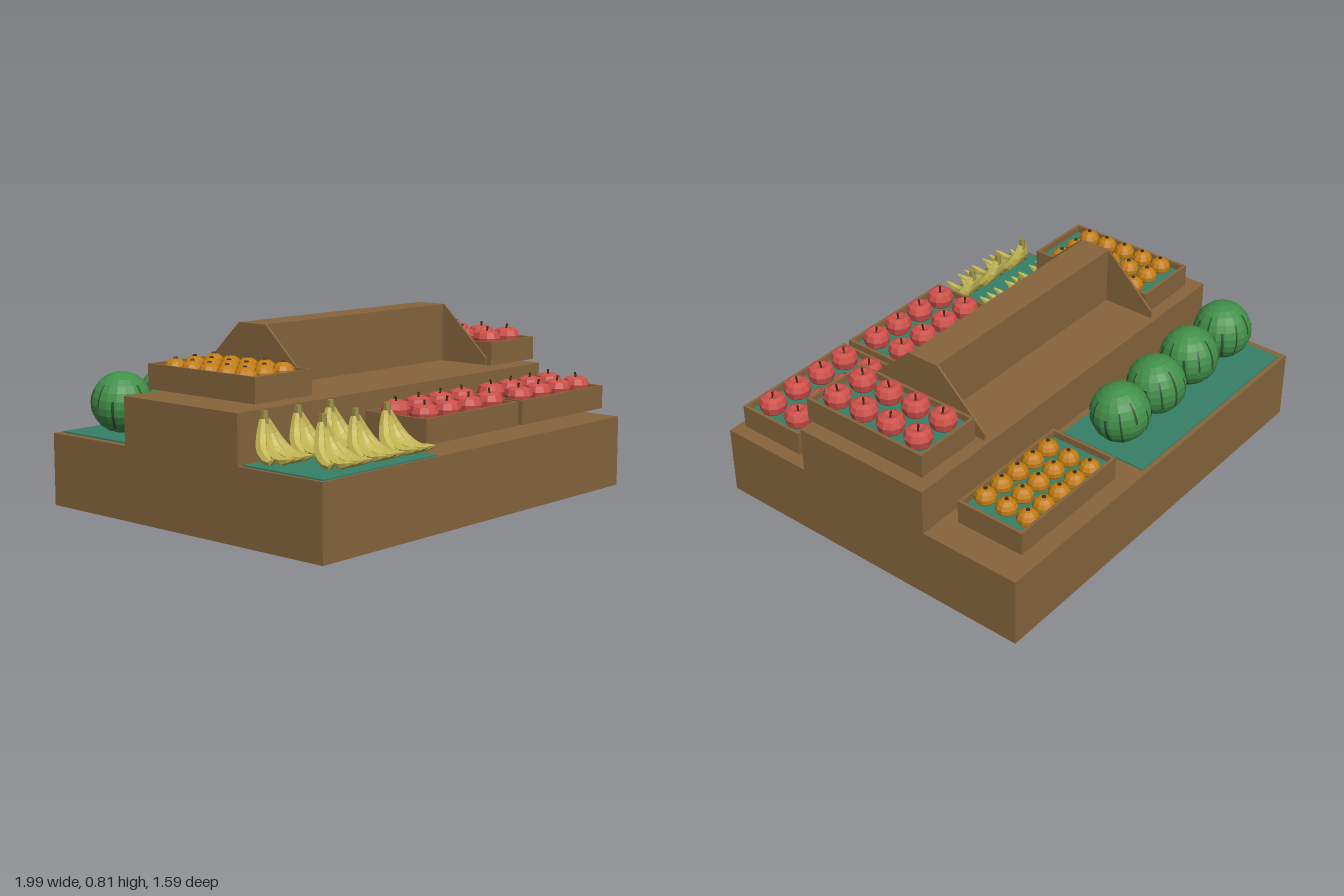
import * as THREE from 'three';

const mat = (name, color, extra = {}) => {
  const m = new THREE.MeshStandardMaterial({ color, ...extra });
  m.name = name;
  return m;
};

export function createModel() {
  const root = new THREE.Group();
  root.name = 'fruitStand';

  const wood = mat('wood', 0x86653c);
  const cloth = mat('greenCloth', 0x368068);
  const red = mat('appleRed', 0xcd5049, { flatShading: true });
  const orange = mat('orangePeel', 0xc17c12, { flatShading: true });
  const yellow = mat('bananaYellow', 0xc6b855, { flatShading: true });
  const olive = mat('bananaStem', 0x968a44, { flatShading: true });
  const green = mat('melonGreen', 0x42904a, { flatShading: true });
  const dark = mat('melonStripe', 0x2c4f2a, { side: THREE.DoubleSide });
  const brown = mat('fruitStem', 0x3c2e1c);

  const add = (parent, name, geo, material, x = 0, y = 0, z = 0) => {
    const m = new THREE.Mesh(geo, material);
    m.name = name;
    m.position.set(x, y, z);
    parent.add(m);
    return m;
  };
  // Box given by its two extreme corners
  const slab = (parent, name, material, x0, x1, y0, y1, z0, z1) =>
    add(parent, name, new THREE.BoxGeometry(x1 - x0, y1 - y0, z1 - z0), material,
      (x0 + x1) / 2, (y0 + y1) / 2, (z0 + z1) / 2);

  // Stepped counter
  slab(root, 'counterBase', wood, -0.99, 1, 0, 0.317, -0.797, 0.775);
  slab(root, 'counterStep', wood, -0.99, 1, 0.317, 0.525, -0.33, 0.33);
  slab(root, 'melonMat', cloth, -0.955, 0.125, 0.317, 0.323, -0.775, -0.36);
  slab(root, 'bananaMat', cloth, -0.975, -0.305, 0.317, 0.323, 0.345, 0.765);

  // Raised divider with sloped end boards
  slab(root, 'divider', wood, -0.556, 0.606, 0.553, 0.813, -0.085, 0.062);
  const board = new THREE.Shape([[-0.33, 0.553], [0.312, 0.553], [0.312, 0.585], [0.068, 0.813],
    [-0.088, 0.813], [-0.33, 0.585]].map(([z, y]) => new THREE.Vector2(-z, y)));
  const boardGeo = new THREE.ExtrudeGeometry(board, { depth: 0.01, bevelEnabled: false });
  boardGeo.rotateY(Math.PI / 2);
  add(root, 'leftEndBoard', boardGeo, wood, 0.606);
  add(root, 'rightEndBoard', boardGeo, wood, -0.566);

  // Apple and orange shapes, measured from the crate rim
  const lathe = (pts, sides) => new THREE.LatheGeometry(pts.map(p => new THREE.Vector2(...p)), sides);
  const appleGeo = lathe([[0, -0.05], [0.03, -0.055], [0.054, -0.025], [0.062, 0.008], [0.052, 0.034],
    [0.03, 0.043], [0.012, 0.036], [0, 0.026]], 10);
  const appleStem = new THREE.CylinderGeometry(0.005, 0.004, 0.036, 5);
  const orangeGeo = new THREE.SphereGeometry(0.048, 10, 7);
  orangeGeo.scale(1, 0.87, 1);
  const orangeStem = new THREE.CylinderGeometry(0.008, 0.01, 0.006, 5);

  const makeApple = () => {
    const g = new THREE.Group();
    g.name = 'apple';
    add(g, 'appleBody', appleGeo, red);
    add(g, 'appleStem', appleStem, brown, 0, 0.043, 0).rotation.z = 0.15;
    return g;
  };
  const makeOrange = () => {
    const g = new THREE.Group();
    g.name = 'orange';
    add(g, 'orangeBody', orangeGeo, orange, 0, -0.015, 0);
    add(g, 'orangeStem', orangeStem, brown, 0, 0.028, 0);
    return g;
  };

  // Crate with a lining and a grid of fruit
  const L = 0.31, W = 0.162, H = 0.106, T = 0.014;
  const makeCrate = (name, x, y, z, turned, fruit, cols, rows, dx, dz) => {
    const g = new THREE.Group();
    g.name = name;
    g.position.set(x, y, z);
    if (turned) g.rotation.y = Math.PI / 2;
    slab(g, 'crateBottom', wood, -L, L, 0, 0.02, -W, W);
    for (const s of [-1, 1]) {
      add(g, 'crateLongSide', new THREE.BoxGeometry(2 * L, H - 0.02, T), wood, 0, H / 2 + 0.01, s * (W - T / 2));
      add(g, 'crateShortSide', new THREE.BoxGeometry(T, H - 0.02, 2 * (W - T)), wood, s * (L - T / 2), H / 2 + 0.01, 0);
    }
    slab(g, 'crateLining', cloth, -L + T, L - T, H - 0.036, H - 0.03, -W + T, W - T);
    for (let i = 0; i < cols; i++) for (let j = 0; j < rows; j++) {
      const f = fruit();
      f.position.set((i - (cols - 1) / 2) * dx, H, (j - (rows - 1) / 2) * dz);
      f.rotation.y = i * 1.3 + j * 0.7;
      g.add(f);
    }
    root.add(g);
  };
  const apples = [makeApple, 4, 2, 0.146, 0.15];
  const oranges = [makeOrange, 5, 3, 0.101, 0.107];
  makeCrate('frontAppleCrate', 0.008, 0.352, 0.545, false, ...apples);
  makeCrate('frontLeftAppleCrate', 0.658, 0.352, 0.545, false, ...apples);
  makeCrate('leftAppleCrate', 0.788, 0.548, 0.02, true, ...apples);
  makeCrate('rightOrangeCrate', -0.73, 0.548, 0.02, true, ...oranges);
  makeCrate('backOrangeCrate', 0.565, 0.335, -0.567, false, ...oranges);

  // Watermelons with thin stripes of varied length
  const melonGeo = new THREE.SphereGeometry(0.132, 18, 12);
  [[-0.813, -0.553], [-0.54, -0.555], [-0.265, -0.567], [0, -0.567]].forEach(([x, z], k) => {
    const g = new THREE.Group();
    g.name = 'watermelon';
    g.position.set(x, 0.457, z);
    g.rotation.set(0.1, k * 0.9, 0.08);
    add(g, 'melonBody', melonGeo, green);
    for (let i = 0; i < 12; i++) {
      const start = 0.8 + 0.25 * ((i * 5 + k) % 3);
      const stripe = new THREE.SphereGeometry(0.1328, 1, 9, i * Math.PI / 6, 0.06 + 0.03 * (i % 2),
        start, 0.75 + 0.3 * (i % 3));
      add(g, 'melonStripe', stripe, dark);
    }
    root.add(g);
  });

  // Tube along a curve whose radius follows a rule
  const taperTube = (points, radius) => {
    const curve = new THREE.CatmullRomCurve3(points.map(p => new THREE.Vector3(...p)));
    const segs = 9, sides = 6;
    const geo = new THREE.TubeGeometry(curve, segs, 1, sides, false);
    const pos = geo.attributes.position, v = new THREE.Vector3();
    for (let i = 0; i <= segs; i++) {
      const c = curve.getPointAt(i / segs), r = radius(i / segs);
      for (let j = 0; j <= sides; j++) {
        const n = i * (sides + 1) + j;
        v.fromBufferAttribute(pos, n).sub(c).multiplyScalar(r).add(c);
        pos.setXYZ(n, v.x, v.y, v.z);
      }
    }
    geo.computeVertexNormals();
    return geo;
  };
  const bananaRadius = t => 0.004 + 0.02 * Math.pow(Math.sin(Math.PI * Math.min(1, 0.08 + t * 0.92)), 0.6);
  // Each banana drops from the stem and curls forward to a raised tip
  const fingers = [-0.1, -0.045, 0.01, 0.06].map((dx, i) => {
    const reach = i === 0 ? 0.15 : 0.2;
    return taperTube([[dx * 0.12, 0.495, 0], [dx * 0.4 + 0.012, 0.435, 0.01], [dx * 0.75 + 0.01, 0.378, 0.05],
      [dx * 0.95, 0.352, 0.12], [dx, 0.368, reach]], bananaRadius);
  });
  const stemGeo = new THREE.CylinderGeometry(0.014, 0.019, 0.05, 6);
  for (let row = 0; row < 2; row++) for (let i = 0; i < 3; i++) {
    const g = new THREE.Group();
    g.name = 'bananaBunch';
    g.position.set(-0.882 + row * 0.095 + i * 0.189, 0, 0.372 + row * 0.218);
    fingers.forEach(f => add(g, 'banana', f, yellow));
    add(g, 'bunchStem', stemGeo, olive, 0, 0.502, 0);
    root.add(g);
  }

  return root;
}
